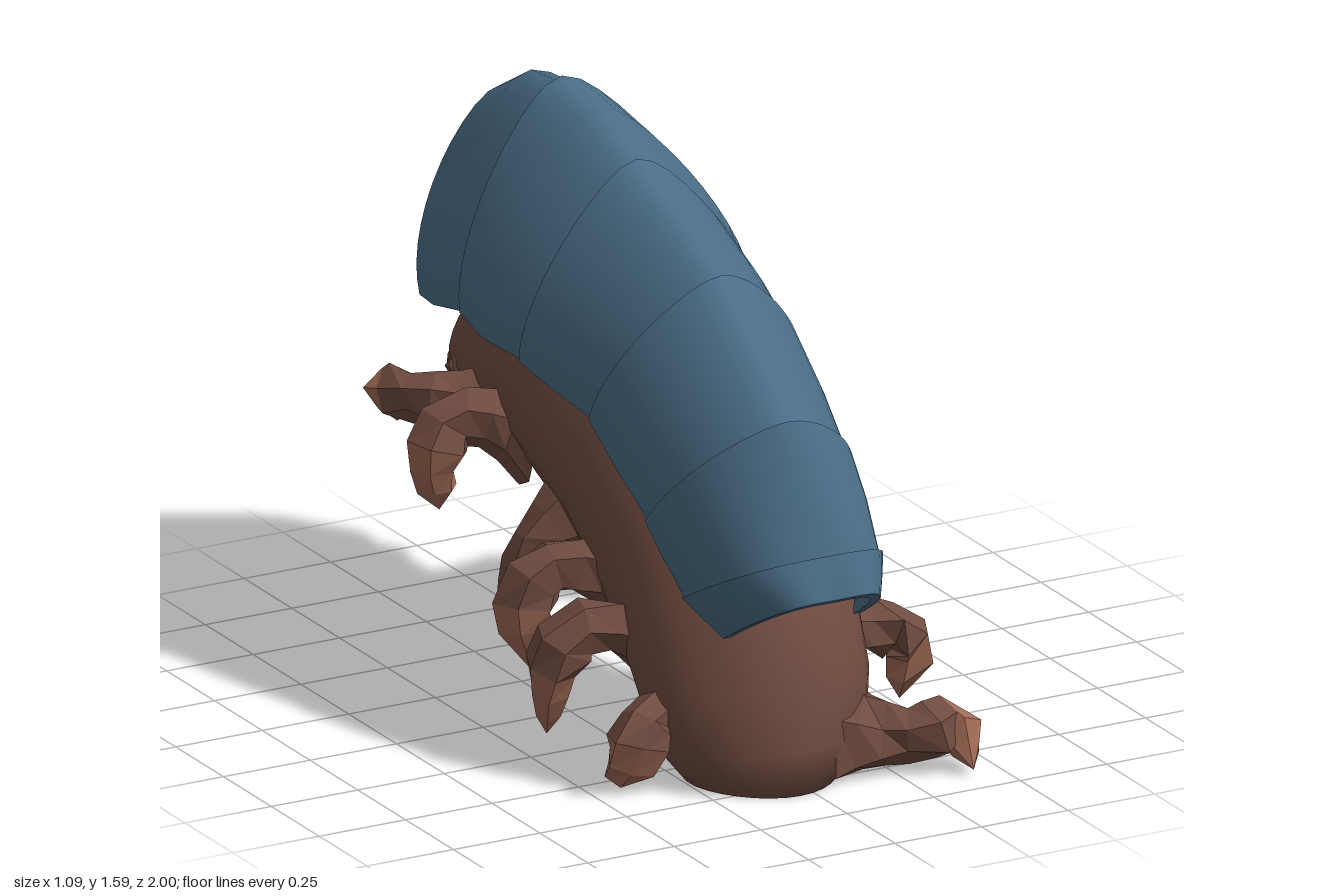
import * as THREE from 'three';

const shellBlue = new THREE.MeshStandardMaterial({ color: 0x4a6d86, side: THREE.DoubleSide });
const skinBrown = new THREE.MeshStandardMaterial({ color: 0x704c41 });
const clawTan = new THREE.MeshStandardMaterial({ color: 0xa06a55 });

// small seeded random for the craggy legs
let seed = 7;
const rand = () => (seed = (seed * 16807) % 2147483647) / 2147483647;

function named(geometry, material, name) {
  const mesh = new THREE.Mesh(geometry, material);
  mesh.name = name;
  return mesh;
}

function faceted(geometry) {
  const g = geometry.index ? geometry.toNonIndexed() : geometry;
  g.computeVertexNormals();
  return g;
}

// skin a list of equally long point rows
function loft(rows, closed) {
  const n = rows[0].length, index = [];
  for (let r = 0; r < rows.length - 1; r++) {
    for (let i = 0; i < (closed ? n : n - 1); i++) {
      const a = r * n + i, b = r * n + (i + 1) % n;
      index.push(a, b, a + n, b, b + n, a + n);
    }
  }
  const g = new THREE.BufferGeometry();
  g.setAttribute('position', new THREE.Float32BufferAttribute(rows.flat(2), 3));
  g.setIndex(index);
  g.computeVertexNormals();
  return g;
}

const mix = (a, b, t) => a.map((v, i) => v + (b[i] - v) * t);

// shell arches: apex z, apex y, edge z, edge y, centre x, half width, apex x, roof sharpness
const arches = [
  [1.0, 0.58, 0.75, 0.43, -0.02, 0.2, -0.03, -0.4],
  [0.97, 0.69, 0.7, 0.54, -0.045, 0.265, -0.05, -0.2],
  [0.87, 1.03, 0.59, 0.72, -0.065, 0.29, -0.1, 0.25],
  [0.52, 1.31, 0.32, 0.91, -0.065, 0.305, -0.1, 0.35],
  [0.1, 1.49, 0.03, 0.98, -0.06, 0.35, -0.11, 0.5],
  [-0.31, 1.58, -0.26, 1.02, -0.035, 0.385, -0.1, 0.5],
  [-0.74, 1.41, -0.57, 0.96, 0.0, 0.365, -0.03, 0.4],
  [-0.91, 1.24, -0.77, 0.9, 0.045, 0.3, 0.05, 0.25],
  [-0.99, 1.03, -0.89, 0.87, 0.08, 0.19, 0.08, 0.1],
  [-0.97, 0.86, -0.95, 0.83, 0.08, 0.06, 0.08, 0.0],
];

function archRow([az, ay, ez, ey, cx, hw, ax, roof], s) {
  const row = [];
  for (let i = 0; i <= 24; i++) {
    const a = (i / 24 - 0.5) * Math.PI, x = Math.sin(a);
    const slope = (1.015 - Math.sqrt(x * x + 0.03)) / 0.842;
    const h = (roof * slope + (1 - roof) * Math.cos(a)) * s;
    row.push([cx + hw * s * x + (ax - cx) * h, ey + (ay - ey) * h, ez + (az - ez) * h]);
  }
  return row;
}

// overlapping plates, each with its rear rim over the next one
function makeShell() {
  const shell = new THREE.Group();
  shell.name = 'shell';
  for (let i = 0; i < arches.length - 1; i++) {
    const a = arches[i], b = arches[i + 1];
    const bulge = i === 4 || i === 5 ? 1.06 : 1.01;
    const rows = [archRow(a, i === 0 ? 1 : 0.975), archRow(mix(a, b, 0.5), bulge), archRow(b, 1.01)];
    shell.add(named(loft(rows, false), shellBlue, 'shellPlate' + (i + 1)));
    shell.add(named(loft([archRow(b, 1.01), archRow(b, 0.95)], false), shellBlue, 'plateRim' + (i + 1)));
  }
  // inner lining and the lower edge that joins it to the plates
  const outer = arches.map(a => archRow(a, 0.99)), inner = arches.map(a => archRow(a, 0.88));
  shell.add(named(loft(inner, false), shellBlue, 'shellLining'));
  for (const [end, side] of [[0, 'right'], [24, 'left']]) {
    const strip = outer.map((row, r) => [row[end], inner[r][end]]);
    shell.add(named(loft(strip, false), shellBlue, side + 'ShellEdge'));
  }
  shell.add(named(loft([outer[0], inner[0]], false), shellBlue, 'frontShellEdge'));
  return shell;
}

// body rings: back z, back y, belly z, belly y, centre x, half width
const bodyRings = [
  [0.65, 0.0, 0.65, 0.0, -0.03, 0.0],
  [0.83, 0.0, 0.45, 0.0, -0.04, 0.2],
  [0.84, 0.12, 0.43, 0.07, -0.03, 0.28],
  [0.82, 0.28, 0.36, 0.18, -0.025, 0.305],
  [0.75, 0.5, 0.25, 0.27, -0.02, 0.31],
  [0.55, 0.77, 0.1, 0.36, -0.02, 0.295],
  [0.2, 0.95, -0.05, 0.42, -0.02, 0.27],
  [-0.2, 1.0, -0.25, 0.46, 0.0, 0.25],
  [-0.5, 0.975, -0.48, 0.51, 0.03, 0.23],
  [-0.71, 0.88, -0.66, 0.53, 0.04, 0.2],
  [-0.84, 0.865, -0.82, 0.53, 0.05, 0.19],
  [-0.89, 0.8, -0.89, 0.56, 0.05, 0.14],
  [-0.9, 0.68, -0.9, 0.68, 0.05, 0.0],
];

function makeBody() {
  const rows = bodyRings.map(([tz, ty, bz, by, cx, hw]) => {
    const row = [];
    for (let i = 0; i < 28; i++) {
      const a = i / 28 * Math.PI * 2, c = (1 + Math.cos(a)) / 2;
      const x = hw * Math.sin(a) * (1 - 0.16 * Math.cos(a));
      row.push([cx + x, by + (ty - by) * c, bz + (tz - bz) * c]);
    }
    return row;
  });
  return named(loft(rows, true), skinBrown, 'body');
}

// legs: joints from hip to claw
const leftLegs = [
  [[0.15, 0.1, 0.7], [0.32, 0.1, 0.82], [0.41, 0.12, 0.81], [0.41, 0.02, 0.92]],
  [[0.18, 0.27, 0.42], [0.4, 0.26, 0.46], [0.47, 0.23, 0.46], [0.46, 0.05, 0.44]],
  [[0.18, 0.45, 0.27], [0.38, 0.41, 0.18], [0.46, 0.37, 0.1], [0.46, 0.18, 0.1]],
  [[0.15, 0.54, -0.1], [0.32, 0.52, -0.15], [0.38, 0.47, -0.22], [0.37, 0.35, -0.3]],
  [[0.14, 0.62, -0.25], [0.35, 0.69, -0.33], [0.44, 0.62, -0.39], [0.4, 0.48, -0.37]],
  [[0.14, 0.6, -0.45], [0.36, 0.67, -0.54], [0.45, 0.61, -0.56], [0.38, 0.34, -0.52]],
];
const rightLegs = [
  [[-0.18, 0.14, 0.52], [-0.36, 0.19, 0.6], [-0.4, 0.11, 0.61], [-0.42, 0.01, 0.52]],
  [[-0.2, 0.33, 0.4], [-0.43, 0.37, 0.36], [-0.48, 0.24, 0.32], [-0.46, 0.06, 0.26]],
  [[-0.2, 0.43, 0.2], [-0.38, 0.46, 0.14], [-0.45, 0.39, 0.13], [-0.43, 0.18, 0.14]],
  [[-0.15, 0.52, -0.07], [-0.28, 0.45, -0.09], [-0.33, 0.34, -0.1], [-0.34, 0.15, -0.13]],
  [[-0.13, 0.6, -0.42], [-0.31, 0.64, -0.5], [-0.36, 0.56, -0.5], [-0.35, 0.4, -0.5]],
  [[-0.1, 0.6, -0.62], [-0.27, 0.62, -0.74], [-0.3, 0.6, -0.82], [-0.26, 0.55, -0.97]],
];
const legRadii = [0.15, 0.115, 0.08, 0.07, 0.075, 0.08, 0.065, 0.045, 0];
const clawStart = 5;

function makeLeg(joints, name) {
  const curve = new THREE.CatmullRomCurve3(joints.map(p => new THREE.Vector3(...p)));
  const steps = legRadii.length - 1, sides = 6;
  const g = new THREE.TubeGeometry(curve, steps, 1, sides, false);
  const pos = g.attributes.position, v = new THREE.Vector3();
  for (let r = 0; r <= steps; r++) {
    const c = curve.getPointAt(r / steps), jitter = [];
    for (let i = 0; i < sides; i++) jitter.push(0.7 + 0.5 * rand());
    for (let i = 0; i <= sides; i++) {
      const k = r * (sides + 1) + i;
      v.fromBufferAttribute(pos, k).sub(c).multiplyScalar(legRadii[r] * jitter[i % sides]).add(c);
      pos.setXYZ(k, v.x, Math.max(v.y, 0), v.z);
    }
  }
  // brown limb, lighter claw
  const leg = faceted(g);
  leg.addGroup(0, clawStart * sides * 6, 0);
  leg.addGroup(clawStart * sides * 6, (steps - clawStart) * sides * 6, 1);
  return named(leg, [skinBrown, clawTan], name);
}

// eyes and jaws at the head end
function makeFace() {
  const face = new THREE.Group();
  face.name = 'face';
  for (const s of [-1, 1]) {
    const eye = named(new THREE.TorusGeometry(0.035, 0.012, 5, 8), skinBrown, 'eyeRim');
    eye.position.set(0.05 + s * 0.185, 0.65, -0.81);
    eye.rotation.y = Math.PI / 2 + s * 0.3;
    const pupil = named(faceted(new THREE.IcosahedronGeometry(0.025, 0)), skinBrown, 'eye');
    pupil.position.copy(eye.position);
    const jaw = named(faceted(new THREE.ConeGeometry(0.045, 0.13, 5)), skinBrown, 'jaw');
    jaw.position.set(0.05 + s * 0.06, 0.56, -0.91);
    jaw.rotation.x = -2.1;
    face.add(eye, pupil, jaw);
  }
  return face;
}

export function createModel() {
  const model = new THREE.Group();
  model.name = 'shelledLarva';
  model.add(makeShell(), makeBody(), makeFace());
  leftLegs.forEach((j, i) => model.add(makeLeg(j, 'leftLeg' + (i + 1))));
  rightLegs.forEach((j, i) => model.add(makeLeg(j, 'rightLeg' + (i + 1))));
  return model;
}
